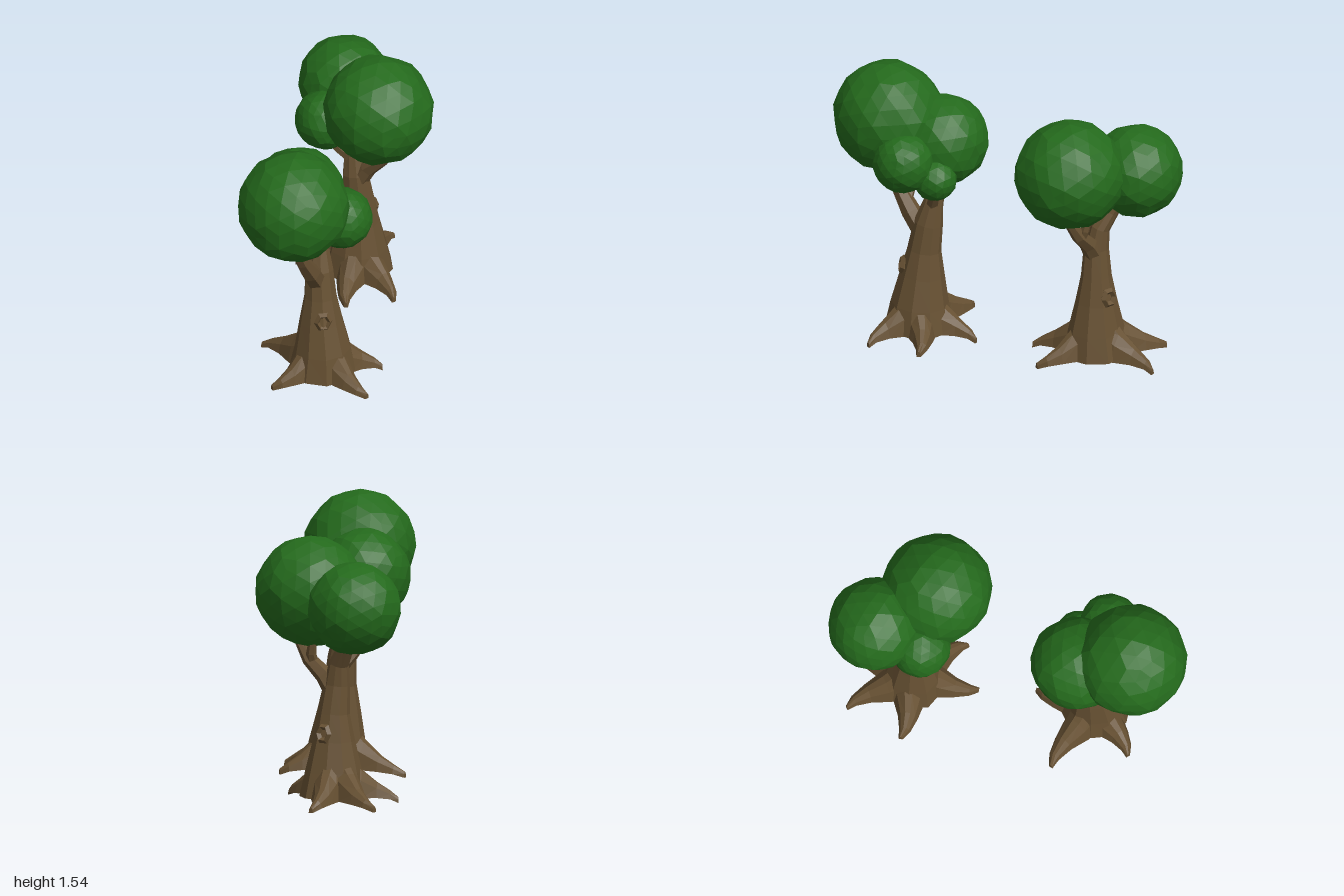
import * as THREE from 'three';

const bark = new THREE.MeshStandardMaterial({ color: 0x665032, flatShading: true });
const leaf = new THREE.MeshStandardMaterial({ color: 0x246a1c, flatShading: true });
const V = (x, y, z) => new THREE.Vector3(x, y, z);

// Repeatable 0..1 value from a position
function hash(x, y, z) {
  const s = Math.sin(Math.round(x * 500) * 12.99 + Math.round(y * 500) * 78.23 + Math.round(z * 500) * 37.72) * 43758.5;
  return s - Math.floor(s);
}

function add(parent, name, geometry, material) {
  const mesh = new THREE.Mesh(geometry, material);
  mesh.name = name;
  parent.add(mesh);
  return mesh;
}

// Skin over rings of equal point count, closed at both ends
function loft(rings) {
  const pos = [];
  const tri = (...pts) => pts.forEach((p) => pos.push(p.x, p.y, p.z));
  const n = rings[0].length;
  for (let i = 0; i < rings.length - 1; i++) {
    for (let j = 0; j < n; j++) {
      const k = (j + 1) % n;
      tri(rings[i][j], rings[i + 1][j], rings[i + 1][k]);
      tri(rings[i][j], rings[i + 1][k], rings[i][k]);
    }
  }
  const last = rings[rings.length - 1];
  for (let j = 1; j < n - 1; j++) {
    tri(rings[0][0], rings[0][j], rings[0][j + 1]);
    tri(last[0], last[j + 1], last[j]);
  }
  const g = new THREE.BufferGeometry();
  g.setAttribute('position', new THREE.Float32BufferAttribute(pos, 3));
  g.computeVertexNormals();
  return g;
}

// Tapered limb; path entries are [x, y, z, radius]
function limb(path, sides, rough = 0) {
  const pts = path.map((p) => V(p[0], p[1], p[2]));
  return loft(pts.map((c, i) => {
    const t = pts[Math.min(i + 1, pts.length - 1)].clone().sub(pts[Math.max(i - 1, 0)]).normalize();
    const u = t.clone().cross(V(0, 0, 1)).normalize();
    const v = u.clone().cross(t);
    return Array.from({ length: sides }, (_, j) => {
      const a = (j / sides) * Math.PI * 2;
      const r = path[i][3] * (1 + rough * (hash(j, 1, path[0][2]) - 0.5));
      return c.clone().addScaledVector(u, Math.cos(a) * r).addScaledVector(v, Math.sin(a) * r);
    });
  }));
}

// Root: ridged wedge running from the trunk to a pointed, slightly bent tip
function root(cx, cz, tx, tz, bend) {
  const len = Math.hypot(tx - cx, tz - cz);
  const o = V((tx - cx) / len, 0, (tz - cz) / len);
  const s = V(-o.z, 0, o.x);
  // distance fraction, bottom, top, half width, sideways bend
  const sections = [
    [0.1, 0.04, 0.30, 0.11, 0], [0.42, 0.04, 0.185, 0.085, 0.3],
    [0.66, 0.035, 0.115, 0.055, 0.9], [0.87, 0.025, 0.068, 0.032, 0.8], [1, 0.004, 0.035, 0.012, 0],
  ];
  return loft(sections.map(([f, lo, hi, w, b]) => {
    const c = V(cx, 0, cz).addScaledVector(o, f * len).addScaledVector(s, b * bend);
    const at = (side, y) => c.clone().addScaledVector(s, side * w).setY(y);
    const mid = lo + (hi - lo) * 0.65;
    return [at(1, lo), at(0.75, mid), at(0.25, hi), at(-0.25, hi), at(-0.75, mid), at(-1, lo)];
  }));
}

// Faceted, uneven leaf ball
function leafBall(r, detail) {
  const g = new THREE.IcosahedronGeometry(r, detail);
  const p = g.attributes.position;
  const v = V(0, 0, 0);
  for (let i = 0; i < p.count; i++) {
    v.fromBufferAttribute(p, i);
    const k = hash(v.x / r, v.y / r, v.z / r);
    v.multiplyScalar(0.975 + 0.04 * k);
    p.setXYZ(i, v.x, v.y, v.z);
  }
  g.computeVertexNormals();
  return g;
}

function tree(name, spec) {
  const group = new THREE.Group();
  group.name = name;
  add(group, 'trunk', limb(spec.trunk, 10, 0.14), bark);
  const [cx, , cz] = spec.trunk[0];
  spec.roots.forEach(([x, z], i) => add(group, 'root', root(cx, cz, x, z, i % 2 ? 0.02 : -0.02), bark));
  spec.branches.forEach((b) => add(group, 'branch', limb(b, 6), bark));

  // Knot hole rim on the trunk wall
  const [hx, hy, hz, angle] = spec.hole;
  const knot = add(group, 'knotHole', new THREE.TorusGeometry(0.036, 0.016, 4, 6), bark);
  knot.position.set(hx, hy, hz);
  knot.rotation.set(-0.15, angle, 0, 'YXZ');
  knot.scale.set(1, 1.15, 1.3);

  spec.leaves.forEach(([x, y, z, r], i) => {
    const ball = add(group, 'leafBall', leafBall(r, r > 0.14 ? 3 : 2), leaf);
    ball.position.set(x, y, z);
    ball.rotation.set(i * 0.7, i * 1.3 + cz, 0);
  });
  return group;
}

export function createModel() {
  const model = new THREE.Group();
  model.name = 'trees';
  model.add(tree('frontTree', {
    trunk: [[-0.01, 0.04, 0.47, 0.185], [-0.01, 0.18, 0.47, 0.155], [-0.02, 0.35, 0.46, 0.12], [-0.025, 0.5, 0.45, 0.09],
      [-0.035, 0.66, 0.43, 0.078], [-0.04, 0.78, 0.405, 0.055], [-0.06, 0.88, 0.385, 0.045], [-0.08, 0.98, 0.38, 0.035]],
    roots: [[0.31, 0.38], [0.28, 0.68], [0.05, 0.13], [-0.38, 0.28], [-0.25, 0.69]],
    branches: [
      [[-0.035, 0.58, 0.45, 0.06], [-0.06, 0.7, 0.54, 0.055], [-0.09, 0.82, 0.62, 0.04], [-0.12, 0.98, 0.70, 0.025]],
      [[-0.08, 0.75, 0.57, 0.03], [-0.12, 0.8, 0.56, 0.025], [-0.24, 0.93, 0.53, 0.012]],
      [[-0.03, 0.76, 0.41, 0.04], [0.02, 0.85, 0.38, 0.03], [0.09, 0.92, 0.37, 0.02]],
    ],
    hole: [0.012, 0.4, 0.562, 0.4],
    leaves: [[-0.13, 1.23, 0.69, 0.308], [-0.155, 1.115, 0.39, 0.257], [0.11, 1.08, 0.53, 0.17], [0.07, 0.98, 0.36, 0.12]],
  }));
  model.add(tree('backTree', {
    trunk: [[0, 0.04, -0.55, 0.185], [0, 0.18, -0.545, 0.155], [0, 0.35, -0.545, 0.115], [0, 0.5, -0.545, 0.085],
      [-0.015, 0.66, -0.54, 0.07], [-0.025, 0.78, -0.56, 0.055], [-0.06, 0.87, -0.61, 0.045], [-0.09, 0.99, -0.68, 0.035]],
    roots: [[0.13, -0.91], [-0.22, -0.88], [-0.35, -0.56], [0, -0.18], [0.25, -0.28]],
    branches: [
      [[-0.01, 0.6, -0.54, 0.06], [0.06, 0.71, -0.52, 0.05], [0.14, 0.79, -0.49, 0.04], [0.21, 0.92, -0.44, 0.025]],
      [[0.12, 0.76, -0.49, 0.035], [0.13, 0.83, -0.52, 0.028], [0.12, 0.92, -0.54, 0.02]],
      [[-0.02, 0.74, -0.55, 0.04], [-0.1, 0.82, -0.52, 0.03], [-0.19, 0.93, -0.49, 0.02]],
    ],
    hole: [0.06, 0.4, -0.635, Math.PI - 0.6],
    leaves: [[0.135, 1.16, -0.435, 0.305], [-0.11, 1.115, -0.745, 0.257], [-0.17, 1.03, -0.48, 0.168]],
  }));
  return model;
}
